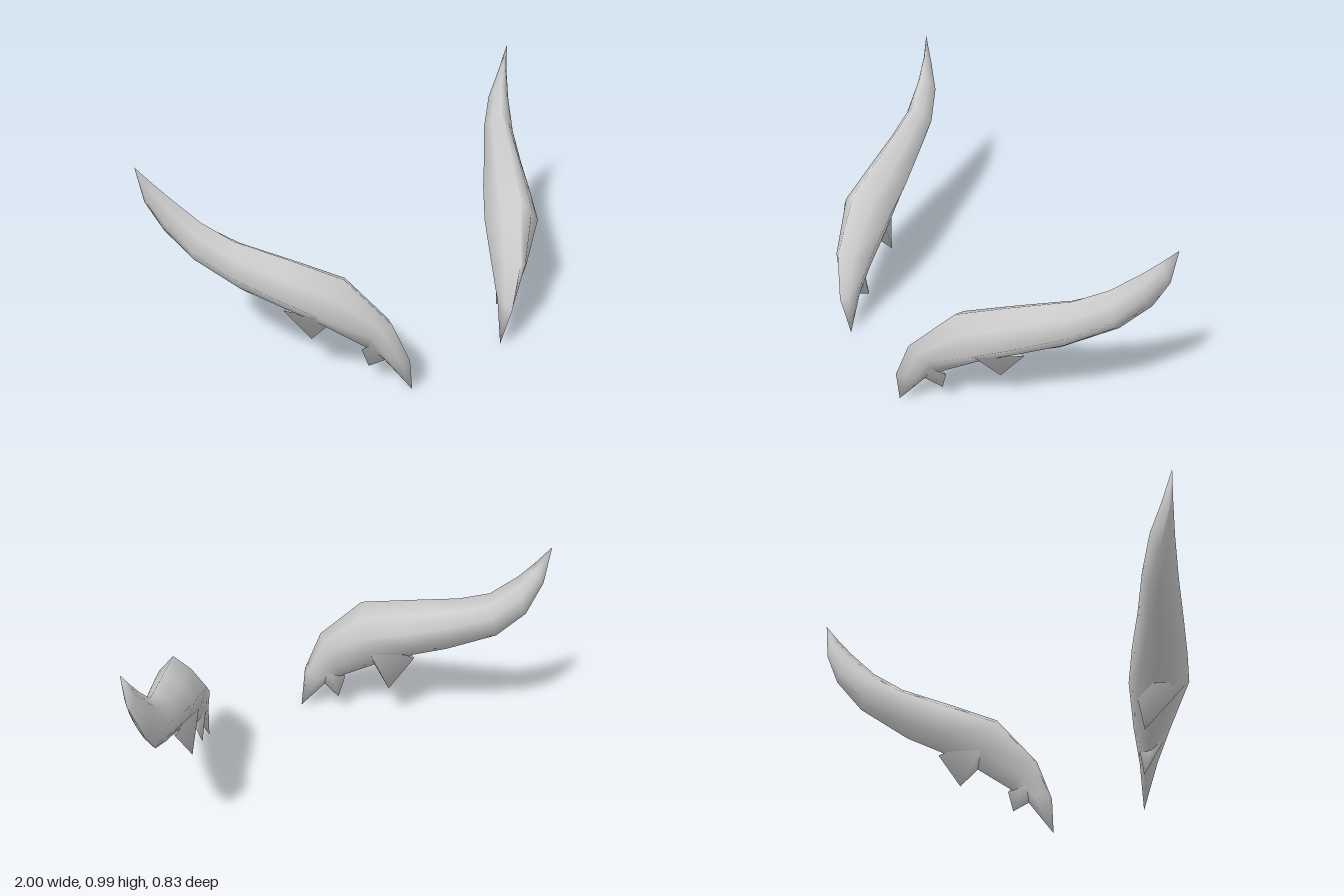
import * as THREE from 'three';
import { mergeVertices } from 'three/addons/utils/BufferGeometryUtils.js';

const material = new THREE.MeshStandardMaterial({ color: 0xcccccc, side: THREE.DoubleSide });
const V = (p) => new THREE.Vector3(...p);
const SIDES = 8;
const BULGE = 1.14; // rounding of the section between its four corners

// Horn cross-sections from lower tip to upper tip: top, outer, bottom and inner corner
const lowTip = [0.27, 0.01, 0.385];
const highTip = [1.0, 0.995, -0.412];
const sections = [
  [lowTip, lowTip, lowTip, lowTip],
  [[0.305, 0.19, 0.415], [0.365, 0.19, 0.355], [0.345, 0.15, 0.30], [0.295, 0.20, 0.33]],
  [[0.37, 0.38, 0.385], [0.445, 0.33, 0.345], [0.40, 0.21, 0.24], [0.325, 0.34, 0.25]],
  [[0.495, 0.58, 0.24], [0.62, 0.45, 0.23], [0.50, 0.30, 0.12], [0.41, 0.47, 0.105]],
  [[0.62, 0.635, 0.06], [0.71, 0.50, 0.085], [0.62, 0.38, -0.01], [0.54, 0.53, -0.05]],
  [[0.755, 0.69, -0.13], [0.805, 0.56, -0.08], [0.715, 0.435, -0.12], [0.67, 0.59, -0.19]],
  [[0.825, 0.75, -0.25], [0.885, 0.64, -0.225], [0.84, 0.555, -0.30], [0.785, 0.665, -0.32]],
  [[0.90, 0.85, -0.335], [0.942, 0.76, -0.325], [0.915, 0.685, -0.39], [0.875, 0.77, -0.392]],
  [[0.95, 0.92, -0.375], [0.98, 0.87, -0.385], [0.975, 0.83, -0.412], [0.945, 0.87, -0.41]],
  [highTip, highTip, highTip, highTip],
];

// Barbs: base corners (outer, front, inner, back) straddling the horn, then the point
const barbs = {
  largeBarb: {
    base: [[0.62, 0.45, 0.225], [0.50, 0.295, 0.12], [0.43, 0.45, 0.12], [0.622, 0.36, -0.01]],
    tip: [0.525, 0.2, 0.04],
  },
  smallBarb: {
    base: [[0.425, 0.30, 0.345], [0.345, 0.15, 0.30], [0.33, 0.255, 0.28], [0.415, 0.2, 0.237]],
    tip: [0.38, 0.1, 0.235],
  },
};

// The right horn is a slightly wider mirror copy of the left one
const place = (p, right) => (right
  ? new THREE.Vector3(0.048 - 1.048 * p.x, p.y * 0.988 - 0.008, p.z * 0.985 + 0.008)
  : p);

function makeMesh(name, points, faces, right) {
  const geometry = new THREE.BufferGeometry();
  geometry.setFromPoints(points.map((p) => place(p, right)));
  geometry.setIndex(faces.flatMap(([a, b, c]) => (right ? [a, c, b] : [a, b, c])));
  const merged = mergeVertices(geometry, 1e-5);
  merged.computeVertexNormals();
  const mesh = new THREE.Mesh(merged, material);
  mesh.name = name;
  return mesh;
}

// Four corners plus a slightly raised point between each pair
function ring(section) {
  const corners = section.map(V);
  const center = new THREE.Vector3();
  corners.forEach((c) => center.addScaledVector(c, 0.25));
  return corners.flatMap((c, i) => {
    const middle = c.clone().lerp(corners[(i + 1) % 4], 0.5);
    return [c, middle.sub(center).multiplyScalar(BULGE).add(center)];
  });
}

// Body lofted through the cross-sections
function hornBody(right) {
  const faces = [];
  for (let i = 1; i < sections.length; i++) {
    const low = (i - 1) * SIDES;
    const high = i * SIDES;
    for (let j = 0; j < SIDES; j++) {
      const k = (j + 1) % SIDES;
      if (i > 1) faces.push([low + j, low + k, high + j]);
      if (i < sections.length - 1) faces.push([low + k, high + k, high + j]);
    }
  }
  return makeMesh('hornBody', sections.flatMap(ring), faces, right);
}

// Barb fanned from its base corners to its point
function barb(name, { base, tip }, right) {
  const n = base.length;
  const faces = base.map((_, i) => [i, (i + 1) % n, n]);
  return makeMesh(name, [...base.map(V), V(tip)], faces, right);
}

export function createModel() {
  const model = new THREE.Group();
  model.name = 'hornPair';
  for (const right of [false, true]) {
    const horn = new THREE.Group();
    horn.name = right ? 'rightHorn' : 'leftHorn';
    horn.add(hornBody(right));
    for (const [name, shape] of Object.entries(barbs)) horn.add(barb(name, shape, right));
    model.add(horn);
  }
  return model;
}
